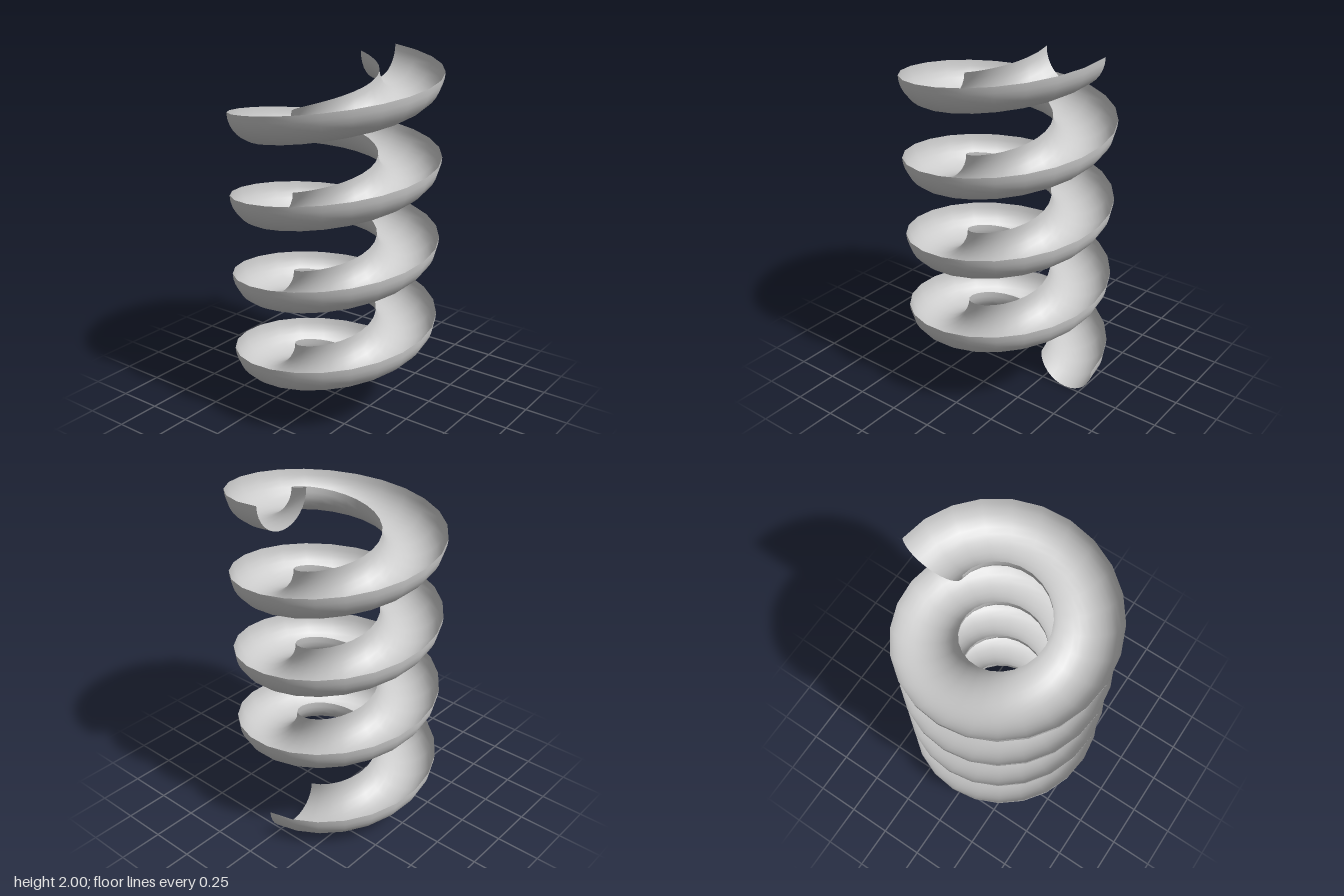
import * as THREE from 'three';

const TURNS = 4, STEPS_PER_TURN = 24, SECTION_STEPS = 16;
const COIL_RADIUS = 0.4075, TROUGH_RADIUS = 0.1725;
const RISE = 2 - TROUGH_RADIUS; // climb of the trough floor over all turns

export function createModel() {
  const group = new THREE.Group();
  group.name = 'spiralSlide';

  // Half-round trough: u runs across the section, v climbs along the helix
  const geometry = new THREE.PlaneGeometry(1, 1, SECTION_STEPS, TURNS * STEPS_PER_TURN);
  const pos = geometry.attributes.position, uv = geometry.attributes.uv;
  for (let i = 0; i < pos.count; i++) {
    const v = uv.getY(i);
    const across = Math.PI * (1 - uv.getX(i));
    const turn = v * TURNS * Math.PI * 2;
    const radius = COIL_RADIUS - TROUGH_RADIUS * Math.cos(across);
    const y = TROUGH_RADIUS * (1 - Math.sin(across)) + RISE * v;
    pos.setXYZ(i, radius * Math.cos(turn), y, -radius * Math.sin(turn));
  }
  geometry.computeVertexNormals();

  const trough = new THREE.Mesh(
    geometry,
    new THREE.MeshStandardMaterial({ color: 0xcccccc, side: THREE.DoubleSide })
  );
  trough.name = 'helicalTrough';
  group.add(trough);
  return group;
}
